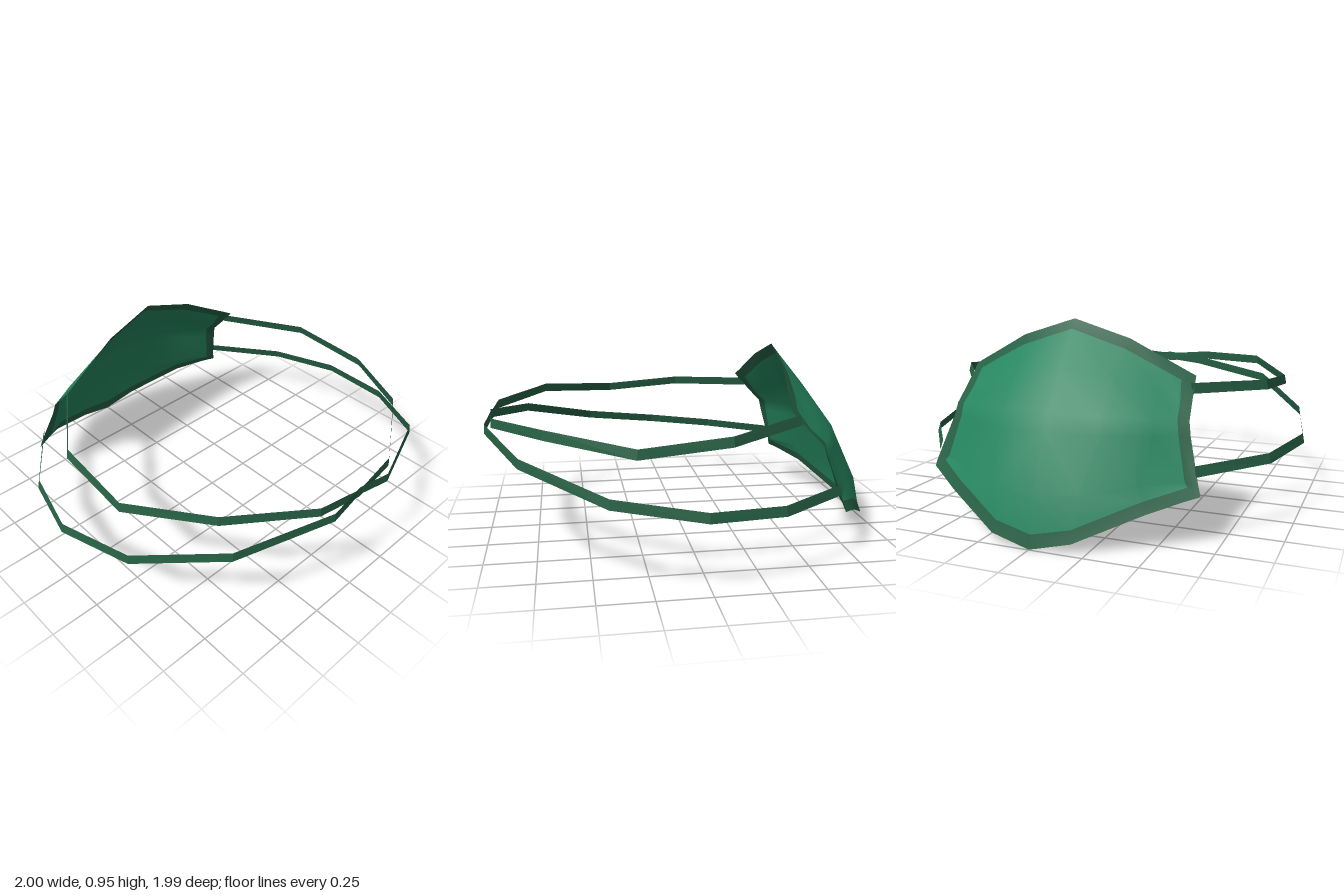
import * as THREE from 'three';

const cloth = new THREE.MeshStandardMaterial({ color: 0x268660, side: THREE.DoubleSide });
cloth.name = 'greenCloth';
const trim = new THREE.MeshStandardMaterial({ color: 0x266044, side: THREE.DoubleSide });
trim.name = 'darkGreenTrim';

// Half rows of the mask from top to bottom, each from the centre line to the side edge
const maskRows = [
  [[0, .955, -.505], [.27, .87, -.49], [.42, .79, -.47], [.53, .732, -.455], [.57, .71, -.447]],
  [[0, .91, -.54], [.26, .825, -.525], [.42, .745, -.51], [.515, .695, -.495], [.572, .675, -.475]],
  [[0, .74, -.68], [.25, .695, -.65], [.43, .635, -.585], [.53, .605, -.56], [.58, .60, -.545]],
  [[0, .565, -.805], [.24, .555, -.77], [.44, .545, -.685], [.54, .54, -.63], [.588, .535, -.607]],
  [[0, .49, -.845], [.25, .485, -.80], [.45, .48, -.70], [.55, .475, -.642], [.60, .47, -.625]],
  [[0, .225, -.955], [.20, .25, -.925], [.42, .28, -.80], [.595, .285, -.69], [.655, .28, -.69]],
  [[0, .068, -.983], [.18, .105, -.963], [.45, .22, -.825], [.61, .265, -.70], [.664, .25, -.697]],
  [[0, .005, -.997], [.19, .05, -.98], [.47, .17, -.842], [.61, .215, -.745], [.67, .23, -.70]],
];

// Curved sheet: cloth in the middle, trim around the edge
function makeMask() {
  const pos = [];
  for (const row of maskRows) {
    const left = row.slice(1).reverse().map(([x, y, z]) => [-x, y, z]);
    for (const p of [...left, ...row]) pos.push(...p);
  }
  const cols = 9, clothIndex = [], trimIndex = [];
  for (let r = 0; r < maskRows.length - 1; r++) {
    for (let c = 0; c < cols - 1; c++) {
      const edge = r === 0 || r === maskRows.length - 2 || c === 0 || c === cols - 2;
      const a = r * cols + c, b = a + 1, d = a + cols, e = d + 1;
      // Diagonals mirror about the centre line
      const faces = c < 4 ? [a, b, d, b, e, d] : [a, b, e, a, e, d];
      (edge ? trimIndex : clothIndex).push(...faces);
    }
  }
  const geo = new THREE.BufferGeometry();
  geo.setAttribute('position', new THREE.Float32BufferAttribute(pos, 3));
  geo.setIndex([...clothIndex, ...trimIndex]);
  geo.addGroup(0, clothIndex.length, 0);
  geo.addGroup(clothIndex.length, trimIndex.length, 1);
  geo.computeVertexNormals();
  const mesh = new THREE.Mesh(geo, [cloth, trim]);
  mesh.name = 'maskPanel';
  return mesh;
}

// Flat upright ribbon through the mirrored path, leaning slightly near the mask
function makeStrap(name, half, lean) {
  const path = [...half, ...half.slice(0, -1).reverse().map(([x, y, z]) => [-x, y, z])];
  const pos = [], index = [], h = .023;
  path.forEach(([x, y, z], i) => {
    const fromEnd = Math.min(i, path.length - 1 - i);
    const k = lean * (1 - fromEnd / (half.length - 1));
    pos.push(x * (1 - k), y + h, z * (1 - k), x * (1 + k), y - h, z * (1 + k));
    if (i) {
      const a = 2 * (i - 1);
      index.push(a, a + 2, a + 1, a + 2, a + 3, a + 1);
    }
  });
  let geo = new THREE.BufferGeometry();
  geo.setAttribute('position', new THREE.Float32BufferAttribute(pos, 3));
  geo.setIndex(index);
  geo = geo.toNonIndexed();
  geo.computeVertexNormals();
  const mesh = new THREE.Mesh(geo, trim);
  mesh.name = name;
  return mesh;
}

export function createModel() {
  const group = new THREE.Group();
  group.name = 'faceMask';
  group.add(makeMask());
  group.add(makeStrap('upperStrap', [
    [.565, .66, -.50], [.83, .635, -.115], [.85, .60, .305],
    [.62, .645, .70], [.245, .625, .95], [0, .60, .975],
  ], .009));
  group.add(makeStrap('lowerStrap', [
    [.64, .333, -.685], [.895, .333, -.34], [.993, .355, .02], [.915, .41, .43],
    [.64, .525, .81], [.19, .585, .99], [0, .61, .972],
  ], .008));
  return group;
}
